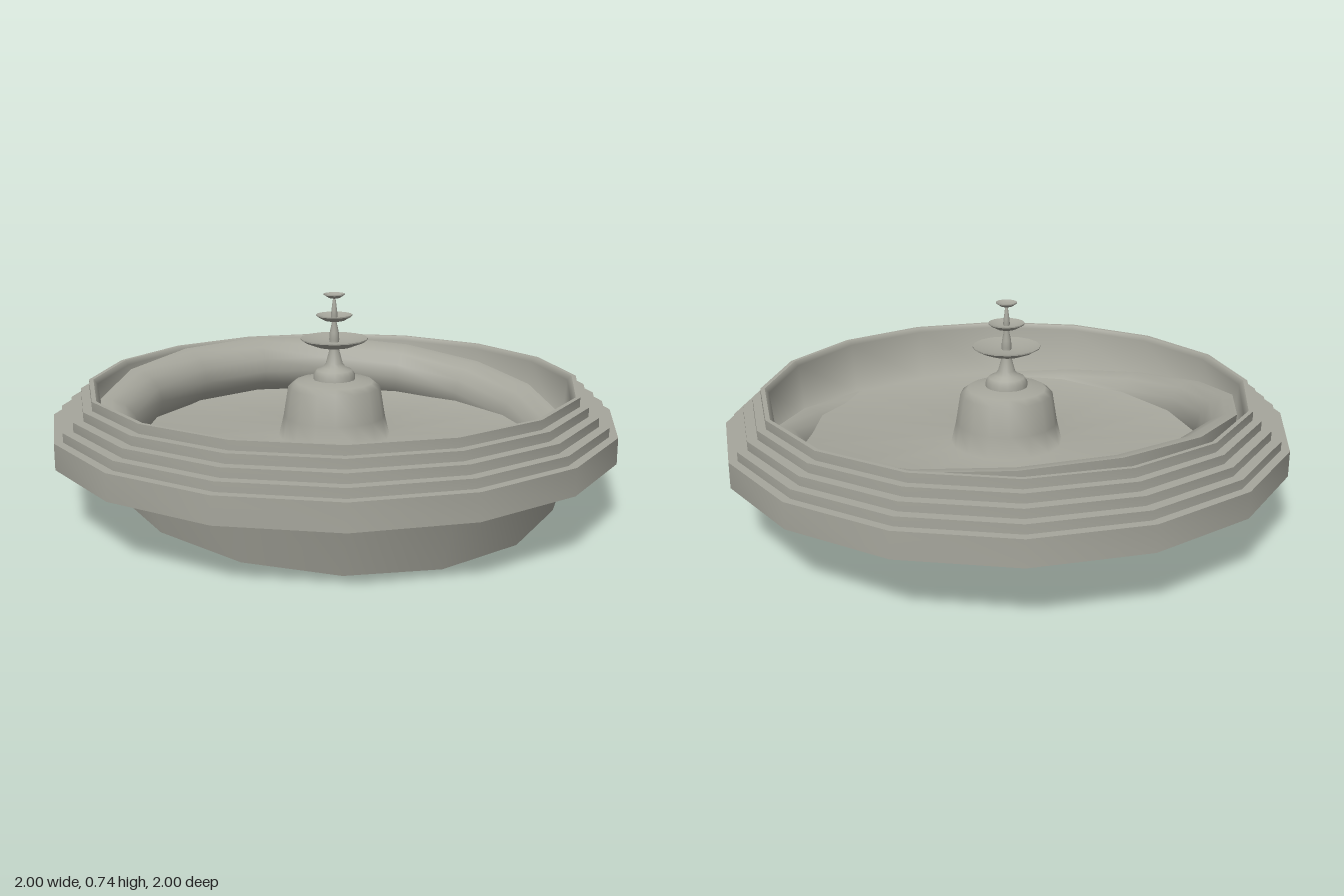
import * as THREE from 'three';
import { toCreasedNormals } from 'three/addons/utils/BufferGeometryUtils.js';

const SIDES = 16;
const stone = new THREE.MeshStandardMaterial({ color: 0xa6a69c });
stone.name = 'grey stone';

// Turns a [radius, height] profile; a crease angle keeps sharper edges hard
function turned(name, profile, crease) {
  let geometry = new THREE.LatheGeometry(profile.map(([r, y]) => new THREE.Vector2(r, y)), SIDES);
  if (crease) geometry = toCreasedNormals(geometry, crease);
  const mesh = new THREE.Mesh(geometry, stone);
  mesh.name = name;
  return mesh;
}

// Shallow dish: rim radius r, rim height y, depth d, stem radius s
function dish(name, r, y, d, s) {
  return turned(name, [
    [s, y - d], [r * 0.55, y - d * 0.8], [r * 0.85, y - d * 0.4], [r, y - 0.004],
    [r, y], [r * 0.9, y - 0.003], [r * 0.5, y - d * 0.35], [0, y - d * 0.4],
  ], 0.9);
}

export function createModel() {
  const fountain = new THREE.Group();
  fountain.name = 'fountain';

  // Stepped outer basin with flat underside
  const outer = [[0, 0.22], [1, 0.22], [1, 0.31]];
  [0.97, 0.935, 0.9, 0.87].forEach((r, i) => {
    outer.push([r, 0.31 + i * 0.0315], [r, 0.31 + (i + 1) * 0.0315]);
  });
  outer.push([0.855, 0.436]);
  fountain.add(turned('steppedBasin', outer, 0.6));

  // Inner wall, floor and the pedestal rising from its middle
  fountain.add(turned('basinInterior', [
    [0.855, 0.436], [0.84, 0.42], [0.82, 0.225], [0.2, 0.225],
    [0.182, 0.3], [0.165, 0.405], [0.14, 0.424], [0.075, 0.432],
  ]));

  // Tilted ring with a straight outside and a rounded inside
  const ring = turned('tiltedRing', [
    [0.8, 0], [0.84, 0.22], [0.8, 0.22], [0.755, 0.203], [0.72, 0.165],
    [0.705, 0.115], [0.713, 0.065], [0.745, 0.025], [0.8, 0],
  ], 0.75);
  ring.rotation.x = 0.138;
  ring.position.y = 0.11;
  fountain.add(ring);

  // Bell-shaped foot and slender stem
  fountain.add(turned('stem', [
    [0.075, 0.425], [0.074, 0.45], [0.064, 0.465], [0.042, 0.474], [0.03, 0.49],
    [0.014, 0.55], [0.018, 0.575], [0.016, 0.6], [0.008, 0.64], [0.012, 0.66],
    [0.01, 0.68], [0.004, 0.725], [0, 0.728],
  ]));

  // Three tiers
  fountain.add(dish('lowerDish', 0.12, 0.58, 0.036, 0.014));
  fountain.add(dish('middleDish', 0.064, 0.664, 0.026, 0.008));
  fountain.add(dish('upperDish', 0.037, 0.738, 0.018, 0.004));

  return fountain;
}
